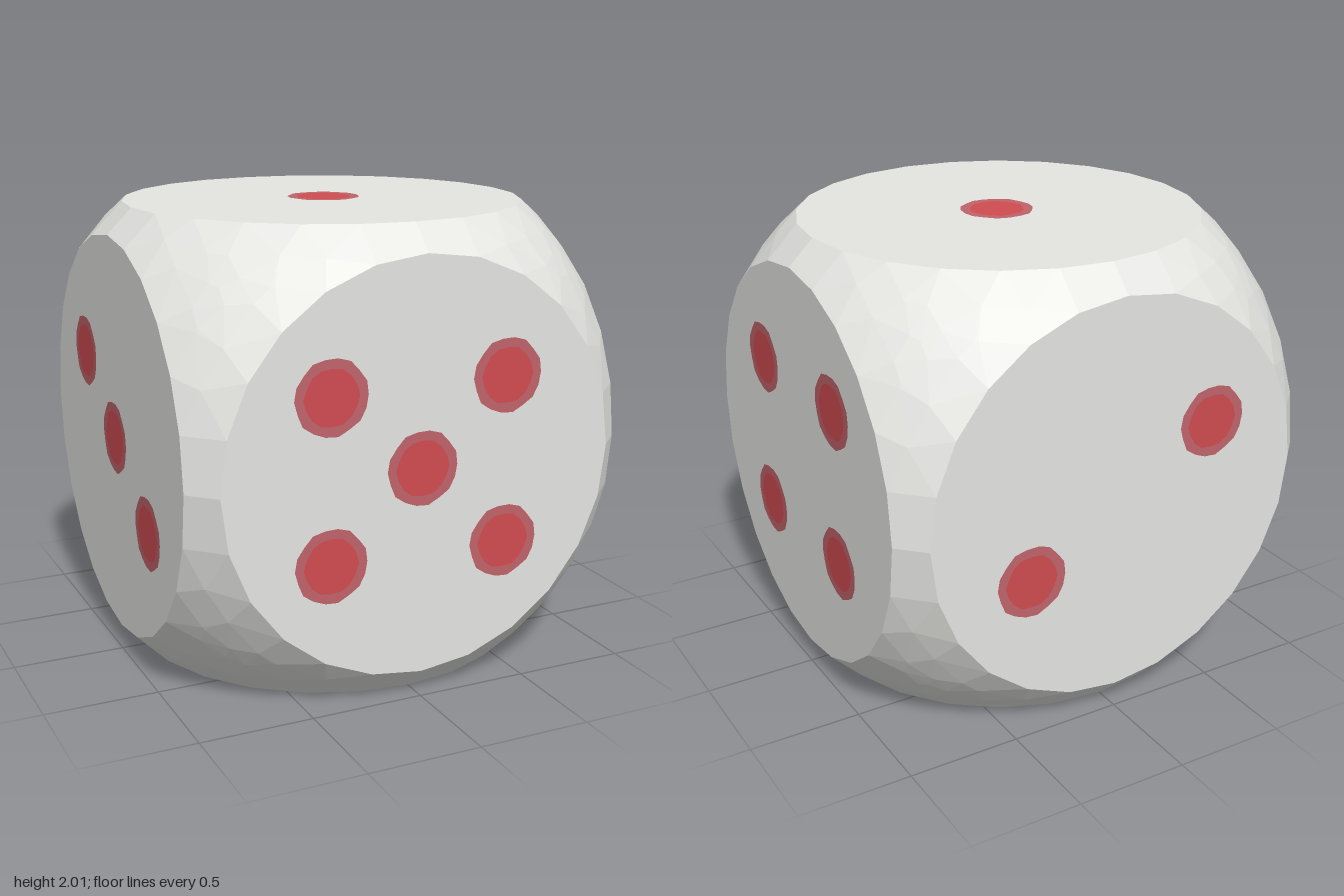
import * as THREE from 'three';
import { ConvexGeometry } from 'three/addons/geometries/ConvexGeometry.js';

const FACE_RADIUS = 0.89;                          // flat circle on each side
const BALL = Math.sqrt(1 + FACE_RADIUS ** 2);      // sphere that rounds the cube
const SIDES = 24;

const mat = (name, color, options = {}) => {
  const m = new THREE.MeshStandardMaterial({ color, ...options });
  m.name = name;
  return m;
};

// Pip centres on each side, measured from the cube's centre
const faces = [
  { name: 'front', pips: [[-0.42, 0.35, 1], [0.38, 0.36, 1], [-0.01, 0.01, 1], [-0.42, -0.35, 1], [0.38, -0.36, 1]] },
  { name: 'back', pips: [[0.43, -0.26, -1], [-0.45, 0.26, -1]] },
  { name: 'plusX', pips: [[1, 0.38, 0.35], [1, 0.38, -0.37], [1, -0.32, 0.35], [1, -0.32, -0.37]] },
  { name: 'minusX', pips: [[-1, 0.31, -0.39], [-1, 0, 0.01], [-1, -0.31, 0.43]] },
  { name: 'top', pips: [[0.01, 1, 0]] },
  { name: 'bottom', pips: [[0.32, -1, -0.47], [0.32, -1, 0.01], [0.32, -1, 0.48], [-0.32, -1, -0.47], [-0.32, -1, 0.01], [-0.32, -1, 0.48]] },
];
const normals = {
  front: [0, 0, 1], back: [0, 0, -1], plusX: [1, 0, 0],
  minusX: [-1, 0, 0], top: [0, 1, 0], bottom: [0, -1, 0],
};

// Cube with corners cut by a faceted sphere
function bodyGeometry() {
  const points = [];
  // Rims of the six flat circles
  for (let axis = 0; axis < 3; axis++) {
    for (const side of [-1, 1]) {
      for (let i = 0; i < SIDES; i++) {
        const a = (i / SIDES) * Math.PI * 2;
        const p = [0, 0, 0];
        p[axis] = side;
        p[(axis + 1) % 3] = FACE_RADIUS * Math.cos(a);
        p[(axis + 2) % 3] = FACE_RADIUS * Math.sin(a);
        points.push(new THREE.Vector3(...p));
      }
    }
  }
  // Facet points on the eight rounded corners
  const pattern = [[0.46, 1, 1.04], [0.68, 1.08, 1], [0.72, 0.9, 1.02], [0.88, 1, 0.97], [1.25, 0.98, 1.02], [1.2, 0.82, 1.05]];
  for (const sx of [-1, 1]) for (const sy of [-1, 1]) for (const sz of [-1, 1]) {
    const add = (x, y, z) => points.push(new THREE.Vector3(x * sx, y * sy, z * sz).setLength(BALL));
    add(1.02, 1, 0.98);
    for (const [a, b, c] of pattern) {
      add(a, b, c);
      add(c, a, b);
      add(b, c, a);
    }
  }
  return new ConvexGeometry(points);
}

// Slightly uneven outlines for the painted pips
const outline = (radius, count, phase) => Array.from({ length: count }, (_, i) => {
  const a = (i / count) * Math.PI * 2;
  const r = radius * (1 + 0.025 * Math.sin(i * 2.4 + phase));
  return new THREE.Vector2(r * Math.cos(a), r * Math.sin(a));
});

export function createModel() {
  const white = mat('ivory', 0xe5e5e2, { flatShading: true });
  const red = mat('red', 0xd04c51);
  const rimRed = mat('dull red', 0xc0646a);

  const model = new THREE.Group();
  model.name = 'die';
  const die = new THREE.Group();
  die.name = 'dieBody';
  die.position.y = 1;
  model.add(die);

  const body = new THREE.Mesh(bodyGeometry(), white);
  body.name = 'roundedCube';
  die.add(body);

  // Each pip is a red disc inside a duller ring
  const discGeometry = new THREE.ShapeGeometry(new THREE.Shape(outline(0.12, 16, 1)));
  const ringShape = new THREE.Shape(outline(0.16, 18, 0));
  ringShape.holes.push(new THREE.Path(outline(0.12, 16, 1)));
  const ringGeometry = new THREE.ShapeGeometry(ringShape);

  const zAxis = new THREE.Vector3(0, 0, 1);
  for (const { name, pips } of faces) {
    const normal = new THREE.Vector3(...normals[name]);
    pips.forEach((position, i) => {
      const pip = new THREE.Group();
      pip.name = `${name}Pip${i + 1}`;
      const disc = new THREE.Mesh(discGeometry, red);
      disc.name = 'pipCentre';
      const ring = new THREE.Mesh(ringGeometry, rimRed);
      ring.name = 'pipRim';
      pip.add(disc, ring);
      pip.quaternion.setFromUnitVectors(zAxis, normal);
      pip.position.set(...position).addScaledVector(normal, 0.003);
      die.add(pip);
    });
  }
  return model;
}
